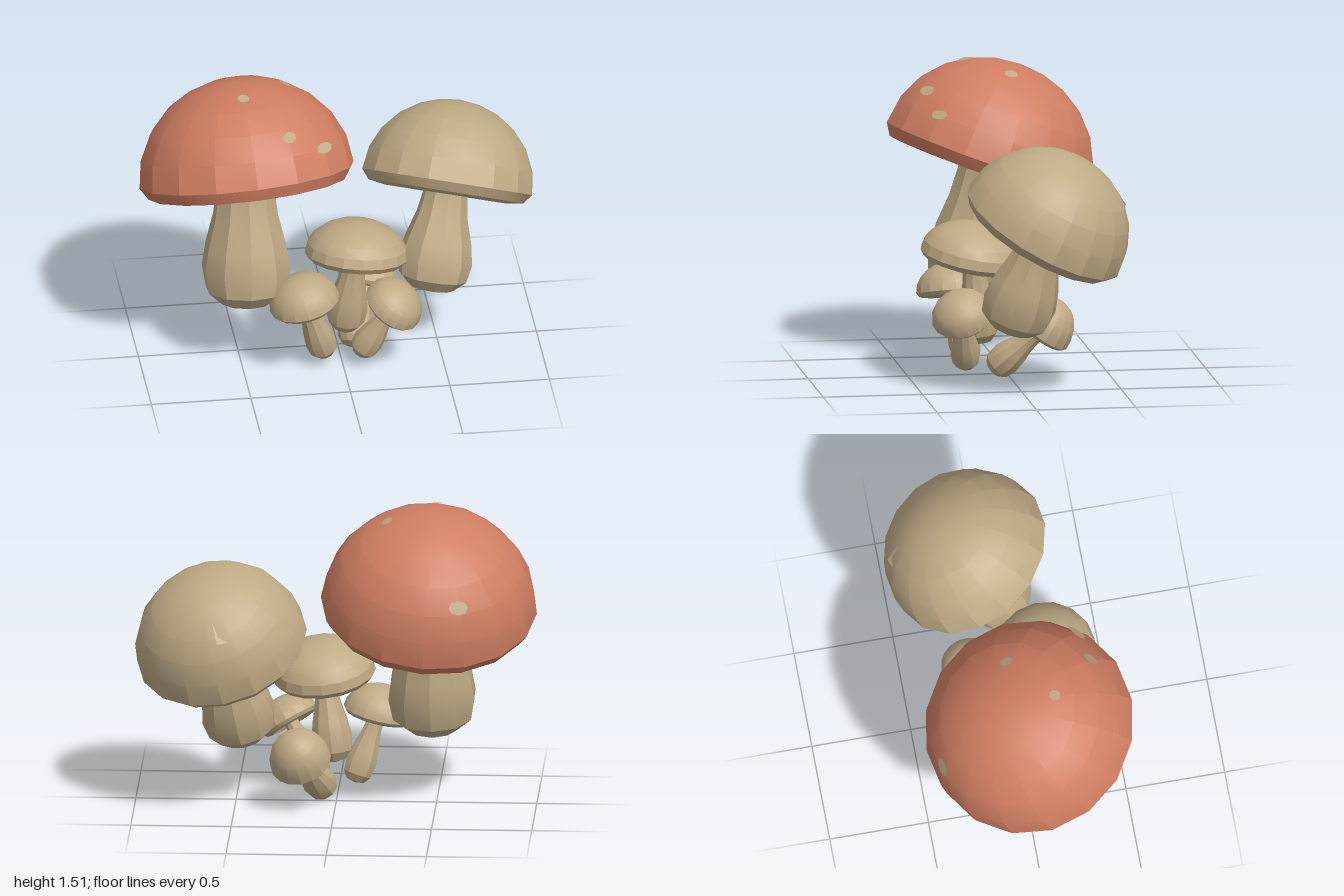
import * as THREE from 'three';
import { toCreasedNormals } from 'three/addons/utils/BufferGeometryUtils.js';
import { ConvexGeometry } from 'three/addons/geometries/ConvexGeometry.js';

const UP = new THREE.Vector3(0, 1, 0);
const vec = (a) => new THREE.Vector3(...a);

// r: cap radius, h: cap height, cap: centre of the widest ring, axis: cap direction,
// base: foot of the stem, stem: [widest radius, top radius]
const MUSHROOMS = [
  { name: 'redMushroom', red: true, r: 0.54, h: 0.495, cap: [-0.46, 1.0, 0.03], axis: [-0.07, 0.93, -0.35], base: [-0.475, 0.32, 0.14], stem: [0.225, 0.145] },
  { name: 'largeTanMushroom', r: 0.435, h: 0.415, cap: [0.565, 0.815, -0.1], axis: [0.215, 0.86, -0.455], base: [0.46, 0.285, 0.055], stem: [0.188, 0.11] },
  { name: 'middleMushroom', r: 0.26, h: 0.18, cap: [0.07, 0.597, 0.19], axis: [0.1, 0.97, -0.18], base: [0.015, 0.15, 0.135], stem: [0.103, 0.053] },
  { name: 'smallRightMushroom', r: 0.178, h: 0.15, cap: [-0.197, 0.375, 0.25], axis: [-0.23, 0.96, 0.03], base: [-0.08, 0.035, 0.18], stem: [0.08, 0.043] },
  { name: 'smallLeftMushroom', r: 0.155, h: 0.13, cap: [0.243, 0.33, 0.26], axis: [0.5, 0.8, 0.28], base: [0.08, 0.045, 0.215], stem: [0.075, 0.037] },
  { name: 'smallBackMushroom', r: 0.155, h: 0.18, cap: [0.17, 0.235, -0.15], axis: [0.2, 0.8, -0.55], base: [0.055, 0.02, 0.085], stem: [0.085, 0.042] },
];

function lathe(name, profile, sides, material, start = 0, sweep = Math.PI * 2) {
  const points = profile.map(([x, y]) => new THREE.Vector2(x, y));
  const geometry = toCreasedNormals(new THREE.LatheGeometry(points, sides, start, sweep), 0.36);
  const mesh = new THREE.Mesh(geometry, material);
  mesh.name = name;
  return mesh;
}

function buildMushroom(m, capMaterial, tan) {
  const group = new THREE.Group();
  group.name = m.name;
  const { r, h } = m;
  const axis = vec(m.axis).normalize();

  // Domed cap with a rolled lip (narrow on the red cap), and a hollow underside
  const dome = [0, 0.28, 0.56, 0.84, 1.1, 1.33, Math.PI / 2]
    .map((t) => [t > 1.5 ? 0 : r * Math.cos(t), h * Math.sin(t)]);
  const inner = m.red ? [0.79 * r, -0.1 * r] : [0.72 * r, -0.14 * r];
  const lip = [(m.red ? 0.93 : 0.91) * r, -0.11 * r];
  const cap = lathe('cap', [inner, lip, ...dome], 16, capMaterial);
  const gills = lathe('capUnderside', [[0, 0.07 * r], [0.3 * r, 0.05 * r], [0.55 * r, -0.01 * r], inner], 16, tan);
  const head = new THREE.Group();
  head.name = 'head';
  head.add(cap, gills);
  head.position.copy(vec(m.cap));
  head.quaternion.setFromUnitVectors(UP, axis);

  // Red stain on one side of the red cap's underside
  if (m.red) {
    const stain = lathe('undersideStain', [[0.55 * r, -0.02 * r], [0.79 * r, -0.11 * r]], 3, capMaterial, Math.PI * 0.375, Math.PI * 0.375);
    head.add(stain);
  }

  // Faceted stem with a rounded, swollen foot
  const base = vec(m.base);
  const span = vec(m.cap).addScaledVector(axis, 0.1 * r).sub(base);
  const L = span.length();
  const [w, t] = m.stem;
  const mix = (k) => t + (w - t) * k;
  const stem = lathe('stem', [
    [0, 0], [0.58 * w, 0.03 * L], [0.91 * w, 0.12 * L], [w, 0.27 * L],
    [mix(0.75), 0.44 * L], [mix(0.25), 0.65 * L], [t, 0.85 * L], [t, L],
  ], 10, tan);
  stem.position.copy(base);
  stem.quaternion.setFromUnitVectors(UP, span.normalize());

  group.add(stem, head);
  group.updateMatrixWorld(true);
  return { group, cap };
}

// Point and outward normal where a ray meets a cap
function hitCap(cap, from, direction) {
  const hit = new THREE.Raycaster(vec(from), vec(direction).normalize()).intersectObject(cap)[0];
  return hit && { point: hit.point, normal: hit.face.normal.clone().transformDirection(cap.matrixWorld) };
}

export function createModel() {
  const red = new THREE.MeshStandardMaterial({ color: 0xcf7e62 });
  red.name = 'terracotta red';
  const tan = new THREE.MeshStandardMaterial({ color: 0xbeaa85 });
  tan.name = 'mushroom tan';

  const model = new THREE.Group();
  model.name = 'mushroomCluster';
  const caps = {};
  for (const m of MUSHROOMS) {
    const { group, cap } = buildMushroom(m, m.red ? red : tan, tan);
    caps[m.name] = cap;
    model.add(group);
  }

  // Pale oval spots on the red cap: ray origin, ray direction, half width, half height
  const down = [0, -1, 0];
  const spots = [
    [[-0.26, 3, -0.06], down, 0.035, 0.028],
    [[-0.49, 3, 0.14], down, 0.03, 0.03],
    [[-0.29, 3, 0.355], down, 0.043, 0.03],
    [[-0.11, 3, 0.32], down, 0.05, 0.028],
    [[-0.63, 1.12, -2], [0, 0, 1], 0.05, 0.036],
  ];
  for (const [from, direction, width, height] of spots) {
    const hit = hitCap(caps.redMushroom, from, direction);
    if (!hit) continue;
    const spot = new THREE.Mesh(new THREE.CircleGeometry(1, 8), tan);
    spot.name = 'capSpot';
    spot.scale.set(width, height, 1);
    spot.position.copy(hit.point).addScaledVector(hit.normal, 0.007);
    spot.lookAt(spot.position.clone().add(hit.normal));
    model.add(spot);
  }

  // Torn flap on the back of the large tan cap
  const tanCap = caps.largeTanMushroom;
  const corners = [
    hitCap(tanCap, [0.6, 3, -0.45], down),
    hitCap(tanCap, [0.34, 3, -0.43], down),
    hitCap(tanCap, [0.57, 0.93, -2], [0, 0, 1]),
  ];
  if (corners.every(Boolean)) {
    const tip = corners[2];
    const points = corners.map((c) => c.point.clone());
    points.push(tip.point.clone().addScaledVector(tip.normal, 0.015));
    const flap = new THREE.Mesh(toCreasedNormals(new ConvexGeometry(points), 0.3), tan);
    flap.name = 'capFlap';
    model.add(flap);
  }
  return model;
}
